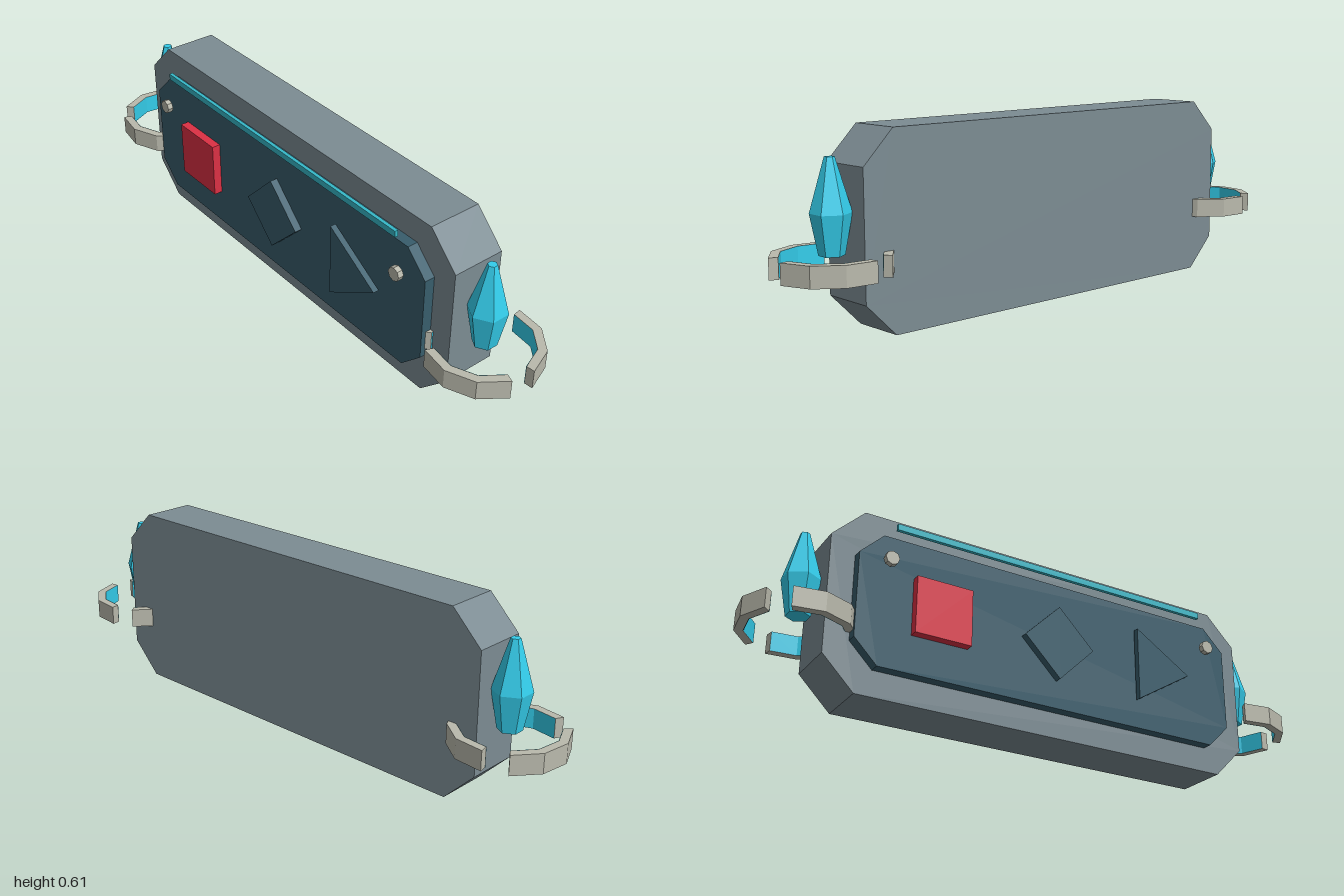
import * as THREE from 'three';

const mat = (color, side = THREE.FrontSide) =>
  new THREE.MeshStandardMaterial({ color, side, flatShading: true });
const slate = mat(0x7c8c93), panelBlue = mat(0x385d6c), red = mat(0xdc3044);
const cyan = mat(0x34cdeb), teal = mat(0x36b8c8), stone = mat(0xb9b9ac);
const lining = mat(0x34cdeb, THREE.DoubleSide);

function add(parent, name, geometry, material, x = 0, y = 0, z = 0) {
  const mesh = new THREE.Mesh(geometry, material);
  mesh.name = name;
  mesh.position.set(x, y, z);
  parent.add(mesh);
  return mesh;
}

// Extrudes an outline of [x, y] points from z0 to z1
function slab(points, z0, z1) {
  const shape = new THREE.Shape(points.map(([x, y]) => new THREE.Vector2(x, y)));
  return new THREE.ExtrudeGeometry(shape, { depth: z1 - z0, bevelEnabled: false }).translate(0, 0, z0);
}

// Rectangle outline with cut corners
const cutRect = (w, y0, y1, c) => [
  [-w + c, y0], [w - c, y0], [w, y0 + c], [w, y1 - c],
  [w - c, y1], [-w + c, y1], [-w, y1 - c], [-w, y0 + c],
];

// Flat-sided arc of a ring lying in the xz plane
function arcSegment(inner, outer, start, span, height, steps = 3) {
  const points = [];
  const put = (r, i) => {
    const a = start + (span * i) / steps;
    points.push([r * Math.cos(a), r * Math.sin(a)]);
  };
  for (let i = 0; i <= steps; i++) put(outer, i);
  for (let i = steps; i >= 0; i--) put(inner, i);
  return slab(points, -height / 2, height / 2).rotateX(Math.PI / 2);
}

export function createModel() {
  const model = new THREE.Group();
  model.name = 'controlPanel';

  // Body and raised face
  add(model, 'body', slab(cutRect(0.77, 0, 0.605, 0.105), -0.09, 0.09), slate);
  add(model, 'facePanel', slab(cutRect(0.69, 0.085, 0.522, 0.077), 0.09, 0.125), panelBlue);
  add(model, 'lightBar', new THREE.BoxGeometry(1.156, 0.021, 0.012), teal, 0, 0.554, 0.139);

  // Buttons
  add(model, 'squareButton', new THREE.BoxGeometry(0.19, 0.19, 0.03), red, -0.414, 0.305, 0.139);
  add(model, 'diamondButton',
    slab([[0, 0.177], [0.127, 0.304], [0, 0.431], [-0.127, 0.304]], 0.125, 0.15), panelBlue);
  add(model, 'triangleButton',
    slab([[0.305, 0.177], [0.509, 0.304], [0.305, 0.431]], 0.134, 0.154), panelBlue);

  // Corner studs
  for (const side of [-1, 1]) {
    const stud = new THREE.CylinderGeometry(0.023, 0.023, 0.019, 8).rotateX(Math.PI / 2);
    add(model, 'stud', stud, stone, side * 0.597, 0.432, 0.152);
  }

  // Crystal with a broken ring at each end
  const rad = THREE.MathUtils.degToRad;
  const profile = [[0, 0.245], [0.038, 0.245], [0.061, 0.367], [0.015, 0.527], [0, 0.527]]
    .map(([r, y]) => new THREE.Vector2(r, y));
  for (const side of [-1, 1]) {
    const end = new THREE.Group();
    end.name = side > 0 ? 'leftEnd' : 'rightEnd';
    end.position.x = side * 0.82;
    model.add(end);
    add(end, 'crystal', new THREE.LatheGeometry(profile, 6), cyan);
    for (const start of [20, 140, 260]) {
      add(end, 'ringSegment', arcSegment(0.152, 0.18, rad(start), rad(95), 0.064), stone, 0, 0.22);
      // Glowing inner face of the segment
      const glow = new THREE.CylinderGeometry(0.151, 0.151, 0.064, 3, 1, true, rad(90 - start - 95), rad(95));
      add(end, 'ringLining', glow, lining, 0, 0.22);
    }
  }
  return model;
}
